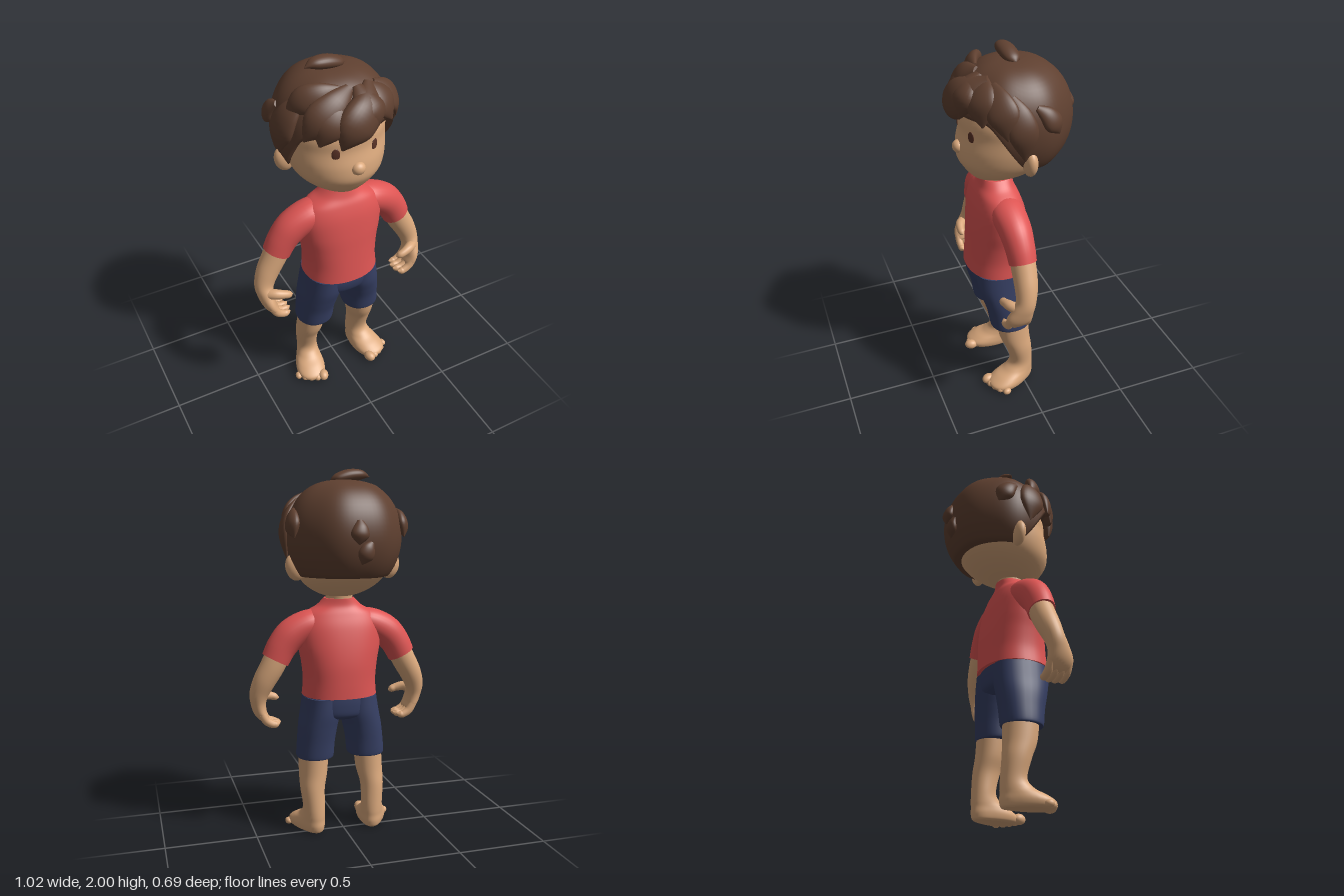
import * as THREE from 'three';

const mat = (name, color) => {
  const m = new THREE.MeshStandardMaterial({ color });
  m.name = name;
  return m;
};

// Catmull-Rom blend of cross-section rows at t in 0..1
function rowAt(rows, t) {
  const last = rows.length - 1, u = t * last;
  const i = Math.min(Math.floor(u), last - 1), f = u - i;
  const [a, b, c, d] = [i - 1, i, i + 1, i + 2].map(k => rows[Math.max(0, Math.min(last, k))]);
  return b.map((_, k) => b[k] + 0.5 * f * (c[k] - a[k] +
    f * (2 * a[k] - 5 * b[k] + 4 * c[k] - d[k] + f * (3 * (b[k] - c[k]) + d[k] - a[k]))));
}

// Skin through rows [x, y, z, radiusA, radiusB]; radiusA lies along "up".
// With flat, rings stay horizontal (radiusA = x, radiusB = z, rows bottom to top).
function sweep(rows, { up = [0, 0, 1], flat = false, n = 28, e = 1, steps = 6 } = {}) {
  const pos = [], idx = [], m = (rows.length - 1) * steps;
  const U = flat ? new THREE.Vector3(1, 0, 0) : new THREE.Vector3(...up);
  const P = r => new THREE.Vector3(r[0], r[1], r[2]);
  const bend = v => Math.sign(v) * Math.abs(v) ** e;
  for (let i = 0; i <= m; i++) {
    const r = rowAt(rows, i / m);
    const t = flat ? new THREE.Vector3(0, 1, 0)
      : P(rowAt(rows, Math.min(1, i / m + 0.01))).sub(P(rowAt(rows, Math.max(0, i / m - 0.01)))).normalize();
    const s = U.clone().addScaledVector(t, -t.dot(U)).normalize();
    const b = t.clone().cross(s);
    for (let j = 0; j < n; j++) {
      const a = j / n * Math.PI * 2;
      const p = P(r).addScaledVector(s, Math.max(r[3], 0.001) * bend(Math.cos(a)))
        .addScaledVector(b, Math.max(r[4], 0.001) * bend(Math.sin(a)));
      pos.push(p.x, p.y, p.z);
      if (i < m) {
        const k = i * n + j, l = i * n + (j + 1) % n;
        idx.push(k, l, l + n, k, l + n, k + n);
      }
    }
  }
  // caps with their own corners, so hems stay crisp
  for (const end of [0, m]) {
    const c = pos.length / 3;
    pos.push(...rowAt(rows, end / m).slice(0, 3), ...pos.slice(end * n * 3, (end + 1) * n * 3));
    for (let j = 0; j < n; j++) {
      const k = c + 1 + j, l = c + 1 + (j + 1) % n;
      idx.push(c, ...(end ? [k, l] : [l, k]));
    }
  }
  const g = new THREE.BufferGeometry();
  g.setAttribute('position', new THREE.Float32BufferAttribute(pos, 3));
  g.setIndex(idx);
  g.computeVertexNormals();
  return g;
}

// Point on the hair surface: azimuth in degrees (0 = front, 90 = left), height, outward offset
function hairPoint(deg, y, off = 0) {
  const a = deg * Math.PI / 180, c = THREE.MathUtils.clamp((y - 1.65) / 0.295, -1, 1);
  const s = (1 - c * c) ** 0.375 * (1 + 0.012 * Math.sin(7 * a + 1));
  const rz = Math.cos(a) > 0 ? 0.29 : 0.308;
  return new THREE.Vector3((0.31 * s + off) * Math.sin(a), y, (rz * s + off) * Math.cos(a));
}

// Cap of hair: high over the face, low behind the ears, with the rim turned inward
function hairCap() {
  const n = 72, m = 24, pos = [], idx = [];
  for (let i = 0; i <= m + 1; i++) for (let j = 0; j < n; j++) {
    const deg = j / n * 360 - 180;
    const rim = 1.71 - 0.265 * THREE.MathUtils.smoothstep(Math.abs(deg), 42, 92);
    const low = Math.acos((rim - 1.65) / 0.295);
    const p = hairPoint(deg, 1.65 + 0.295 * Math.cos(low * Math.min(i, m) / m));
    if (i > m) p.set(p.x * 0.75, p.y + 0.01, p.z * 0.75);
    pos.push(p.x, p.y, p.z);
    const k = i * n + j, l = i * n + (j + 1) % n;
    if (i <= m) idx.push(k, k + n, l + n, k, l + n, l);
  }
  const g = new THREE.BufferGeometry();
  g.setAttribute('position', new THREE.Float32BufferAttribute(pos, 3));
  g.setIndex(idx);
  g.computeVertexNormals();
  return g;
}

export function createModel() {
  const root = new THREE.Group();
  root.name = 'boy';
  const skin = mat('skin', 0xdba97d), hair = mat('hair', 0x5f4030), eye = mat('eye', 0x5a3226);
  const shirt = mat('shirt', 0xde5553), shorts = mat('shorts', 0x363f63);
  const add = (name, geo, m, parent = root) => {
    const mesh = new THREE.Mesh(geo, m);
    mesh.name = name;
    parent.add(mesh);
    return mesh;
  };
  const ball = (name, m, p, size, parent = root) => {
    const b = add(name, new THREE.SphereGeometry(1, 24, 16), m, parent);
    b.position.set(...p);
    b.scale.set(...size);
    return b;
  };

  // Head and neck
  add('head', sweep([
    [0, 1.322, 0.1, 0.03, 0.03], [0, 1.332, 0.1, 0.09, 0.1], [0, 1.36, 0.078, 0.15, 0.155],
    [0, 1.4, 0.058, 0.203, 0.205], [0, 1.45, 0.042, 0.238, 0.246], [0, 1.52, 0.022, 0.26, 0.266],
    [0, 1.6, 0.005, 0.268, 0.265], [0, 1.68, 0, 0.265, 0.265], [0, 1.78, 0, 0.22, 0.22],
    [0, 1.86, 0, 0.14, 0.14], [0, 1.9, 0, 0.03, 0.03]], { flat: true, n: 48 }), skin);
  add('neck', sweep([[0, 1.26, 0.085, 0.08, 0.08], [0, 1.32, 0.085, 0.074, 0.075],
    [0, 1.39, 0.08, 0.08, 0.085]], { flat: true }), skin);
  ball('nose', skin, [0, 1.515, 0.283], [0.037, 0.034, 0.032]);

  // Hair cap, crown tuft, fringe and side locks
  add('hairCap', hairCap(), hair);
  add('crownTuft', sweep([[0.065, 1.938, 0, 0.008, 0.01], [0.035, 1.95, 0.002, 0.026, 0.038],
    [-0.03, 1.966, 0.008, 0.034, 0.046], [-0.1, 1.972, 0.013, 0.026, 0.036],
    [-0.15, 1.962, 0.018, 0.001, 0.001]], { up: [0, 1, 0] }), hair);
  const locks = [
    [[35, 1.89], [12, 1.82], [-6, 1.74], [-17, 1.645], 0.095, 0.058],
    [[0, 1.9], [-22, 1.85], [-38, 1.78], [-50, 1.69], 0.08, 0.038],
    [[-15, 1.9], [-40, 1.885], [-60, 1.85], [-74, 1.785], 0.065, 0.035],
    [[-15, 1.88], [-24, 1.82], [-30, 1.75], [-36, 1.67], 0.08, 0.04],
    [[-62, 1.86], [-72, 1.78], [-78, 1.68], [-80, 1.57], 0.075, 0.03],
    [[12, 1.9], [12, 1.84], [13, 1.78], [13, 1.7], 0.085, 0.052],
    [[28, 1.89], [34, 1.84], [38, 1.78], [42, 1.7], 0.08, 0.035],
    [[42, 1.88], [55, 1.82], [62, 1.75], [66, 1.65], 0.075, 0.03],
    [[68, 1.84], [76, 1.76], [80, 1.66], [82, 1.53], 0.07, 0.03],
    [[95, 1.79], [104, 1.75], [110, 1.7], [115, 1.65], 0.05, 0.03],
    [[-95, 1.79], [-104, 1.75], [-110, 1.7], [-115, 1.65], 0.05, 0.03],
    [[180, 1.74], [180, 1.7], [179, 1.66], [178, 1.62], 0.045, 0.028],
    [[192, 1.63], [188, 1.6], [185, 1.56], [182, 1.52], 0.04, 0.026]];
  for (const [a, b, c, d, w, th] of locks) {
    const rows = [[a, 0, 0.3], [b, 0.004, 0.9], [c, 0.008, 1], [d, 0.016, 0.06]].map(([q, off, k]) =>
      [...hairPoint(q[0], q[1], off).toArray(), th * k, w * k]);
    const mid = hairPoint((b[0] + c[0]) / 2, 1.65);
    add('hairLock', sweep(rows, { up: [mid.x, mid.y - 1.65 + 0.08, mid.z] }), hair);
  }

  // Shirt body
  add('shirtBody', sweep([
    [0, 0.775, 0.088, 0.21, 0.178], [0, 0.86, 0.085, 0.204, 0.173], [0, 0.96, 0.083, 0.214, 0.166],
    [0, 1.06, 0.086, 0.232, 0.154], [0, 1.16, 0.09, 0.235, 0.135], [0, 1.23, 0.092, 0.2, 0.112],
    [0, 1.275, 0.09, 0.125, 0.092], [0, 1.315, 0.085, 0.084, 0.084]],
    { flat: true, n: 48, e: 0.9 }), shirt);

  // Shorts: hip block here, trouser legs below
  add('shortsHips', sweep([[0, 0.645, 0.08, 0.12, 0.1], [0, 0.67, 0.08, 0.19, 0.142],
    [0, 0.73, 0.085, 0.21, 0.156], [0, 0.8, 0.085, 0.2, 0.154]], { flat: true, n: 40, e: 0.9 }), shorts);

  for (const s of [1, -1]) {
    const side = new THREE.Group();
    side.name = s > 0 ? 'leftSide' : 'rightSide';
    root.add(side);
    const flip = rows => rows.map(([x, ...r]) => [s * x, ...r]);

    // Eye and ear
    ball('eye', eye, [s * 0.106, 1.603, 0.249], [0.021, 0.031, 0.0048], side).rotation.y = s * 0.41;
    const ear = ball('ear', skin, [s * 0.265, 1.492, 0], [0.052, 0.072, 0.036], side);
    ear.rotation.z = -s * 0.25;

    // Sleeve, arm, fingers and thumb
    add('sleeve', sweep(flip([[0.08, 1.19, 0.085, 0.07, 0.06], [0.17, 1.175, 0.085, 0.09, 0.08],
      [0.265, 1.125, 0.08, 0.086, 0.088], [0.325, 1.06, 0.077, 0.078, 0.083],
      [0.365, 0.985, 0.075, 0.072, 0.078]])), shirt, side);
    add('arm', sweep(flip([[0.34, 1.03, 0.075, 0.066, 0.068], [0.385, 0.945, 0.075, 0.065, 0.067],
      [0.427, 0.87, 0.08, 0.06, 0.062], [0.455, 0.8, 0.092, 0.053, 0.053],
      [0.458, 0.745, 0.11, 0.06, 0.043], [0.446, 0.69, 0.124, 0.072, 0.036],
      [0.42, 0.65, 0.126, 0.062, 0.026], [0.405, 0.642, 0.126, 0.03, 0.01]])), skin, side);
    for (let i = 0; i < 4; i++) {
      const z = 0.073 + 0.034 * i, k = i % 3 ? 0 : 0.012;
      add('finger', sweep(flip([[0.445, 0.685, z, 0.02, 0.022], [0.42, 0.643, z, 0.021, 0.023],
        [0.385, 0.622, z, 0.02, 0.021], [0.352 + k, 0.622, z, 0.018, 0.018],
        [0.333 + k, 0.628, z, 0.003, 0.003]]), { n: 14 }), skin, side);
    }
    add('thumb', sweep(flip([[0.465, 0.76, 0.125, 0.03, 0.03], [0.42, 0.768, 0.163, 0.028, 0.028],
      [0.375, 0.76, 0.178, 0.023, 0.023], [0.345, 0.75, 0.178, 0.019, 0.019],
      [0.328, 0.746, 0.176, 0.003, 0.003]]), { n: 14 }), skin, side);

    // Trouser leg
    add('shortsLeg', sweep(flip([[0.148, 0.425, 0.065, 0.098, 0.106], [0.148, 0.437, 0.065, 0.105, 0.112],
      [0.141, 0.52, 0.068, 0.105, 0.122], [0.129, 0.6, 0.075, 0.108, 0.137],
      [0.113, 0.68, 0.082, 0.109, 0.15], [0.105, 0.77, 0.085, 0.102, 0.15]]),
      { flat: true, e: 0.92 }), shorts, side);

    // Leg running into a foot that widens toward the toes
    const leg = new THREE.Group();
    leg.name = 'leg';
    leg.position.x = s * 0.17;
    leg.rotation.y = s * 0.26;
    side.add(leg);
    const g = sweep(flip([[0, 0.004, 0.07, 0.055, 0.125], [0, 0.014, 0.075, 0.066, 0.138],
      [0, 0.04, 0.073, 0.071, 0.141], [0, 0.07, 0.052, 0.068, 0.118], [0, 0.1, 0.022, 0.063, 0.088],
      [0, 0.15, 0.004, 0.06, 0.067], [0, 0.25, 0.02, 0.066, 0.075], [-0.015, 0.34, 0.04, 0.076, 0.088],
      [-0.025, 0.46, 0.05, 0.08, 0.095]]), { flat: true, n: 36, e: 0.95 });
    const p = g.attributes.position;
    for (let i = 0; i < p.count; i++) {
      const k = 1 - THREE.MathUtils.smoothstep(p.getY(i), 0.05, 0.13);
      p.setX(i, p.getX(i) * (1 + 2.2 * k * Math.max(0, p.getZ(i))));
    }
    g.computeVertexNormals();
    add('legAndFoot', g, skin, leg);
    for (let i = 0; i < 5; i++) {
      const r = i ? 0.023 - 0.001 * i : 0.029;
      ball('toe', skin, [s * (-0.062 + 0.036 * i), r + 0.001, 0.196 - 0.006 * i * (i - 1) / 2],
        [r, r, r * 1.3], leg);
    }
  }
  return root;
}
